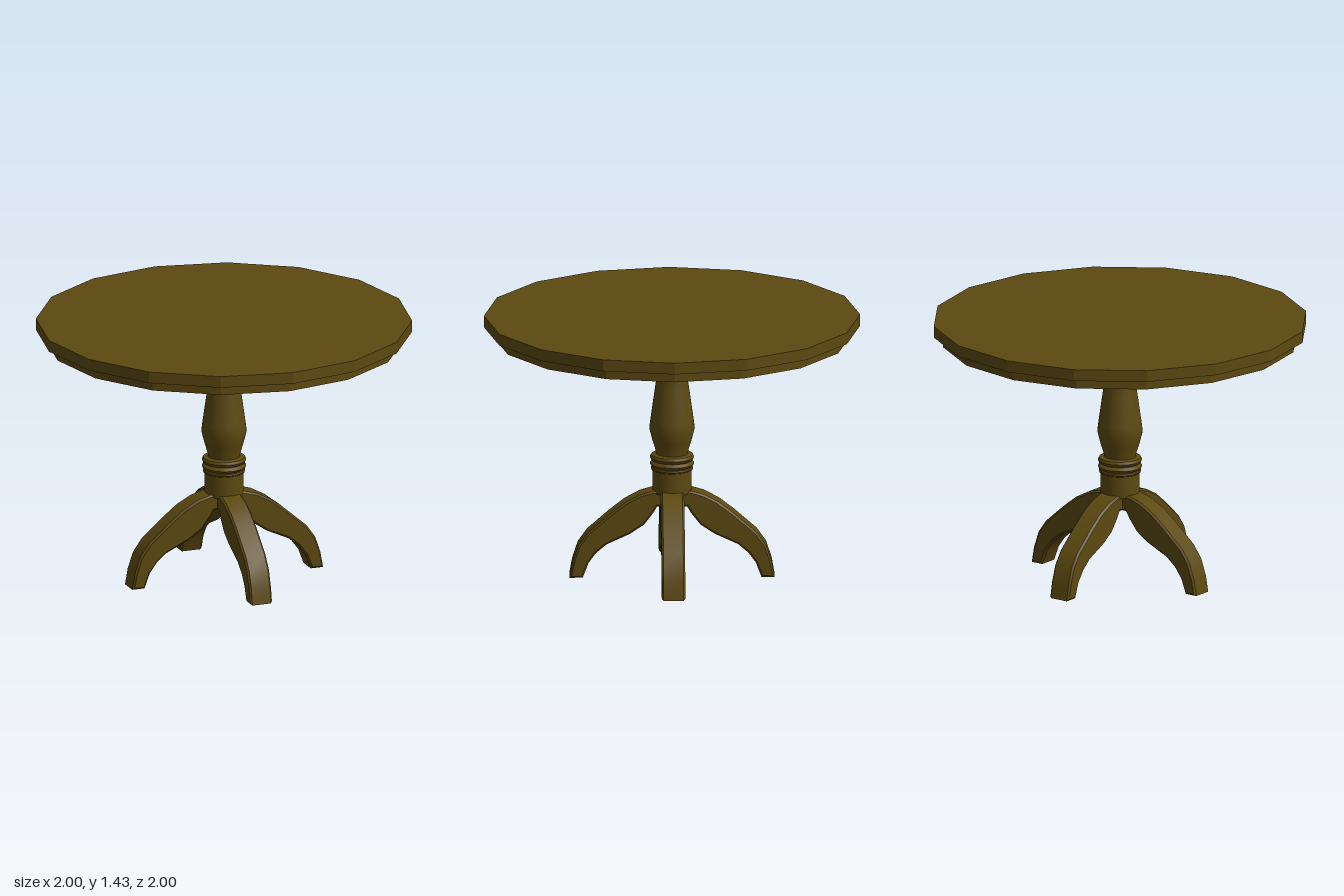
import * as THREE from 'three';
import { toCreasedNormals } from 'three/addons/utils/BufferGeometryUtils.js';

const wood = new THREE.MeshStandardMaterial({ color: 0x5c4910 });

function part(name, geometry, y = 0) {
  const mesh = new THREE.Mesh(geometry, wood);
  mesh.name = name;
  mesh.position.y = y;
  return mesh;
}

// Sixteen-sided slab with crisp edges
function slab(radius, bottom, top) {
  const g = new THREE.CylinderGeometry(radius, radius, top - bottom, 16);
  return toCreasedNormals(g.translate(0, (top + bottom) / 2, 0), 0.3);
}

// Turned column: radius, height from the bottom up
function columnGeometry() {
  const profile = [
    [0, 0.46], [0.104, 0.46], [0.104, 0.58],
    [0.11, 0.583], [0.113, 0.59], [0.11, 0.597], [0.102, 0.6],
    [0.111, 0.604], [0.118, 0.616], [0.111, 0.628], [0.102, 0.632],
    [0.111, 0.637], [0.118, 0.651], [0.111, 0.665], [0.085, 0.67],
    [0.088, 0.69], [0.105, 0.745], [0.121, 0.808], [0.116, 0.85],
    [0.092, 1.02], [0.068, 1.18], [0.075, 1.205], [0.093, 1.25],
    [0.106, 1.28], [0.106, 1.315], [0, 1.315],
  ].map(([r, y]) => new THREE.Vector2(r, y));
  return toCreasedNormals(new THREE.LatheGeometry(profile, 32), 0.7);
}

// Curved leg: side outline extruded with a small bevel
function legGeometry() {
  const outline = [
    [0, 0.475], [0.1, 0.475], [0.17, 0.455], [0.25, 0.412], [0.33, 0.35], [0.45, 0.245],
    [0.5, 0.175], [0.53, 0.085], [0.545, 0],
    [0.475, 0], [0.445, 0.08], [0.405, 0.135], [0.35, 0.182], [0.225, 0.24],
    [0.15, 0.29], [0.1, 0.355], [0.08, 0.39], [0, 0.39],
  ].map(([x, y]) => new THREE.Vector2(x, y));
  const g = new THREE.ExtrudeGeometry(new THREE.Shape(outline), {
    depth: 0.105, bevelThickness: 0.01, bevelSize: 0.01, bevelOffset: -0.01, bevelSegments: 1,
  });
  // The inner end reaches the axis so the four legs meet
  return toCreasedNormals(g.translate(-0.01, 0, -0.0525).translate(0.01, 0, 0), 0.5);
}

export function createModel() {
  const table = new THREE.Group();
  table.name = 'pedestalTable';
  table.add(part('tableTop', slab(1, 1.366, 1.428)));
  table.add(part('apron', slab(0.95, 1.31, 1.366)));
  table.add(part('column', columnGeometry()));

  const leg = legGeometry();
  ['leftLeg', 'backLeg', 'rightLeg', 'frontLeg'].forEach((name, i) => {
    const mesh = part(name, leg);
    mesh.rotation.y = i * Math.PI / 2;
    table.add(mesh);
  });
  return table;
}
